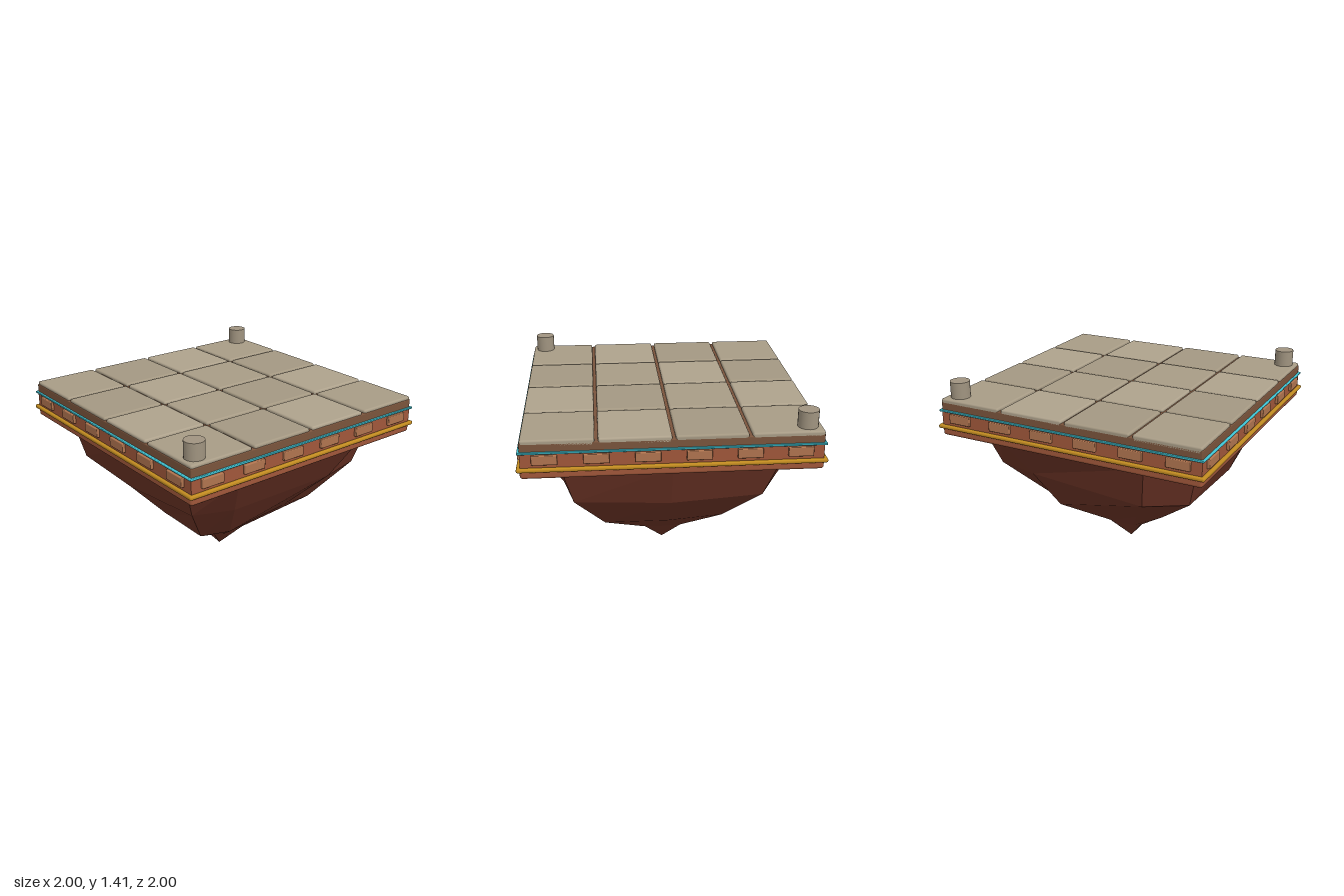
import * as THREE from 'three';
import { RoundedBoxGeometry } from 'three/addons/geometries/RoundedBoxGeometry.js';

const mat = (color, extra = {}) => {
  const m = new THREE.MeshStandardMaterial({ color, ...extra });
  return m;
};
const materials = {
  rock: mat(0x6b3325, { flatShading: true }),
  base: mat(0xa0573a),
  brick: mat(0xb0744f),
  slab: mat(0x7a543c),
  gold: mat(0xc08a20),
  cyan: mat(0x40c4d4),
  peg: mat(0xa09480),
  tiles: [mat(0xa89c86), mat(0xaea28c), mat(0xa49882)],
};

function add(parent, name, geometry, material, x = 0, y = 0, z = 0) {
  const mesh = new THREE.Mesh(geometry, material);
  mesh.name = name;
  mesh.position.set(x, y, z);
  parent.add(mesh);
  return mesh;
}

// Box spanning y0..y1 with softened edges
const softBox = (w, y0, y1, d, r) => new RoundedBoxGeometry(w, y1 - y0, d, 2, r).translate(0, (y0 + y1) / 2, 0);

// Ten-sided, squared-off rock: each ring scales the top outline unevenly, ending in a point
function rockGeometry() {
  const sides = 10;
  const squared = (v) => 0.93 * Math.sign(v) * Math.abs(v) ** 0.45;
  const rings = [
    { y: 1.04, s: Array(sides).fill(1) },
    { y: 0.73, s: [0.855, 0.845, 0.8, 0.8, 0.893, 0.876, 0.87, 0.78, 0.912, 0.912] },
    { y: 0.43, s: [0.55, 0.61, 0.57, 0.49, 0.61, 0.56, 0.55, 0.58, 0.495, 0.52] },
    { y: 0.18, s: [0.16, 0.18, 0.185, 0.18, 0.19, 0.175, 0.18, 0.175, 0.175, 0.17] },
    { y: 0, s: Array(sides).fill(0) },
  ];
  const positions = [];
  const index = [];
  rings.forEach(({ y, s }, j) => {
    for (let k = 0; k < sides; k++) {
      const a = (k / sides) * Math.PI * 2;
      const sin = k % 5 === 0 ? 0 : Math.sin(a);
      positions.push(squared(sin) * s[k], y, squared(Math.cos(a)) * s[k]);
      if (j === rings.length - 1) continue;
      const n = (k + 1) % sides;
      const [t0, t1, b0, b1] = [j * sides + k, j * sides + n, (j + 1) * sides + k, (j + 1) * sides + n];
      index.push(t0, b0, t1);
      if (j < rings.length - 2) index.push(t1, b0, b1);
    }
  });
  // Flat top
  for (let k = 1; k < sides - 1; k++) index.push(0, k, k + 1);
  const g = new THREE.BufferGeometry();
  g.setAttribute('position', new THREE.Float32BufferAttribute(positions, 3));
  g.setIndex(index);
  const flat = g.toNonIndexed();
  flat.computeVertexNormals();
  return flat;
}

export function createModel() {
  const model = new THREE.Group();
  model.name = 'floatingPlatform';

  add(model, 'rock', rockGeometry(), materials.rock);

  // Stacked platform layers
  add(model, 'lowerLip', softBox(1.96, 1.025, 1.1, 1.96, 0.02), materials.base);
  add(model, 'wall', new THREE.BoxGeometry(1.95, 0.14, 1.95), materials.base, 0, 1.14, 0);
  add(model, 'slab', softBox(1.95, 1.2, 1.272, 1.95, 0.008), materials.slab);

  // Trim and raised bricks, repeated around the four sides
  const goldBar = new RoundedBoxGeometry(2, 0.028, 0.03, 3, 0.012);
  const cyanBar = new RoundedBoxGeometry(1.98, 0.014, 0.02, 2, 0.005);
  const brick = new RoundedBoxGeometry(0.165, 0.065, 0.04, 2, 0.006);
  for (let i = 0; i < 4; i++) {
    const side = new THREE.Group();
    side.name = 'side';
    side.rotation.y = (i * Math.PI) / 2;
    add(side, 'goldTrim', goldBar, materials.gold, 0, 1.092, 0.985);
    add(side, 'cyanTrim', cyanBar, materials.cyan, 0, 1.207, 0.98);
    for (let b = 0; b < 6; b++) {
      add(side, 'brick', brick, materials.brick, (b - 2.5) * 0.328, 1.16, 0.975);
    }
    model.add(side);
  }

  // Four by four paving tiles
  const tile = softBox(0.47, 1.24, 1.292, 0.47, 0.014);
  for (let i = 0; i < 4; i++) {
    for (let j = 0; j < 4; j++) {
      const shade = materials.tiles[(i * 2 + j) % 3];
      add(model, 'tile', tile, shade, (i - 1.5) * 0.492 - 0.002, 0, (j - 1.5) * 0.492 - 0.002);
    }
  }

  // Corner pegs on one diagonal
  const peg = new THREE.CylinderGeometry(0.068, 0.068, 0.12, 24);
  for (const s of [-1, 1]) add(model, 'cornerPeg', peg, materials.peg, s * 0.878, 1.348, s * 0.878);

  return model;
}
